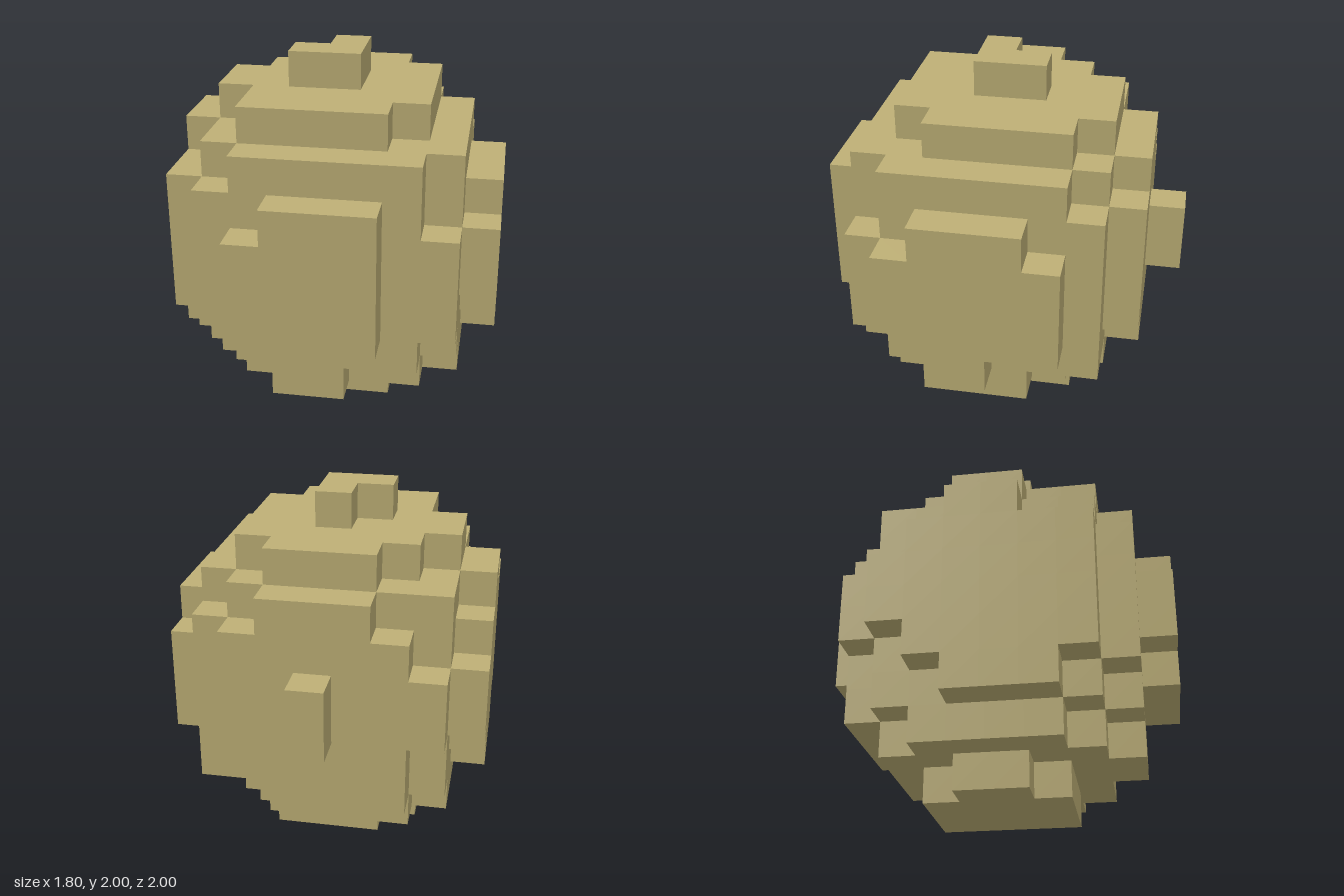
import * as THREE from 'three';
import { mergeGeometries } from 'three/addons/utils/BufferGeometryUtils.js';

const CELL = 0.2;
const NX = 9, NY = 10, NZ = 10;

// Blocks of each layer from the ground up: [x0, x1, z0, z1] in cells
const core = [1, 8, 2, 8];
const middle = [core, [1, 7, 1, 2], [1, 8, 8, 9], [0, 1, 2, 8], [8, 9, 3, 8], [2, 6, 9, 10], [4, 5, 0, 1]];
const layers = [
  [[3, 6, 3, 7], [2, 3, 4, 6]],
  [[2, 6, 2, 3], [2, 7, 3, 8], [7, 8, 4, 7], [1, 2, 3, 7], [3, 5, 8, 9]],
  [core, [2, 6, 1, 2], [2, 7, 8, 9], [0, 1, 4, 7], [8, 9, 5, 6]],
  [core, [2, 7, 1, 2], [1, 8, 8, 9], [0, 1, 3, 8], [8, 9, 3, 7], [3, 6, 9, 10]],
  middle,
  middle,
  [core, [2, 7, 1, 2], [1, 7, 8, 9], [0, 1, 3, 8], [8, 9, 4, 7], [3, 6, 9, 10]],
  [[1, 8, 3, 8], [1, 7, 2, 3], [3, 6, 1, 2], [2, 7, 8, 9], [0, 1, 4, 6]],
  [[1, 2, 4, 6], [2, 3, 3, 8], [3, 6, 2, 8], [6, 7, 3, 7]],
  [[4, 5, 4, 6], [3, 4, 5, 6]],
];

const filled = (x, y, z) =>
  (layers[y] || []).some(([x0, x1, z0, z1]) => x >= x0 && x < x1 && z >= z0 && z < z1);

// One cell side, turned to face each of the six directions
const sides = [
  [1, 0, 0], [-1, 0, 0], [0, 1, 0], [0, -1, 0], [0, 0, 1], [0, 0, -1],
].map((d) => {
  const face = new THREE.PlaneGeometry(CELL, CELL).translate(0, 0, CELL / 2);
  if (d[0]) face.rotateY((d[0] * Math.PI) / 2);
  if (d[1]) face.rotateX((-d[1] * Math.PI) / 2);
  if (d[2] < 0) face.rotateY(Math.PI);
  return { d, face };
});

// Only the exposed sides of the cells in one layer
function layerGeometry(y) {
  const faces = [];
  for (let x = 0; x < NX; x++) {
    for (let z = 0; z < NZ; z++) {
      if (!filled(x, y, z)) continue;
      for (const { d, face } of sides) {
        if (filled(x + d[0], y + d[1], z + d[2])) continue;
        faces.push(face.clone().translate(
          (x + 0.5 - NX / 2) * CELL, (y + 0.5) * CELL, (z + 0.5 - NZ / 2) * CELL));
      }
    }
  }
  return mergeGeometries(faces);
}

export function createModel() {
  const stone = new THREE.MeshStandardMaterial({ name: 'sandstone', color: 0xbeb076 });
  const boulder = new THREE.Group();
  boulder.name = 'blockBoulder';
  for (let y = 0; y < NY; y++) {
    const layer = new THREE.Mesh(layerGeometry(y), stone);
    layer.name = `boulderLayer${y + 1}`;
    boulder.add(layer);
  }
  return boulder;
}
